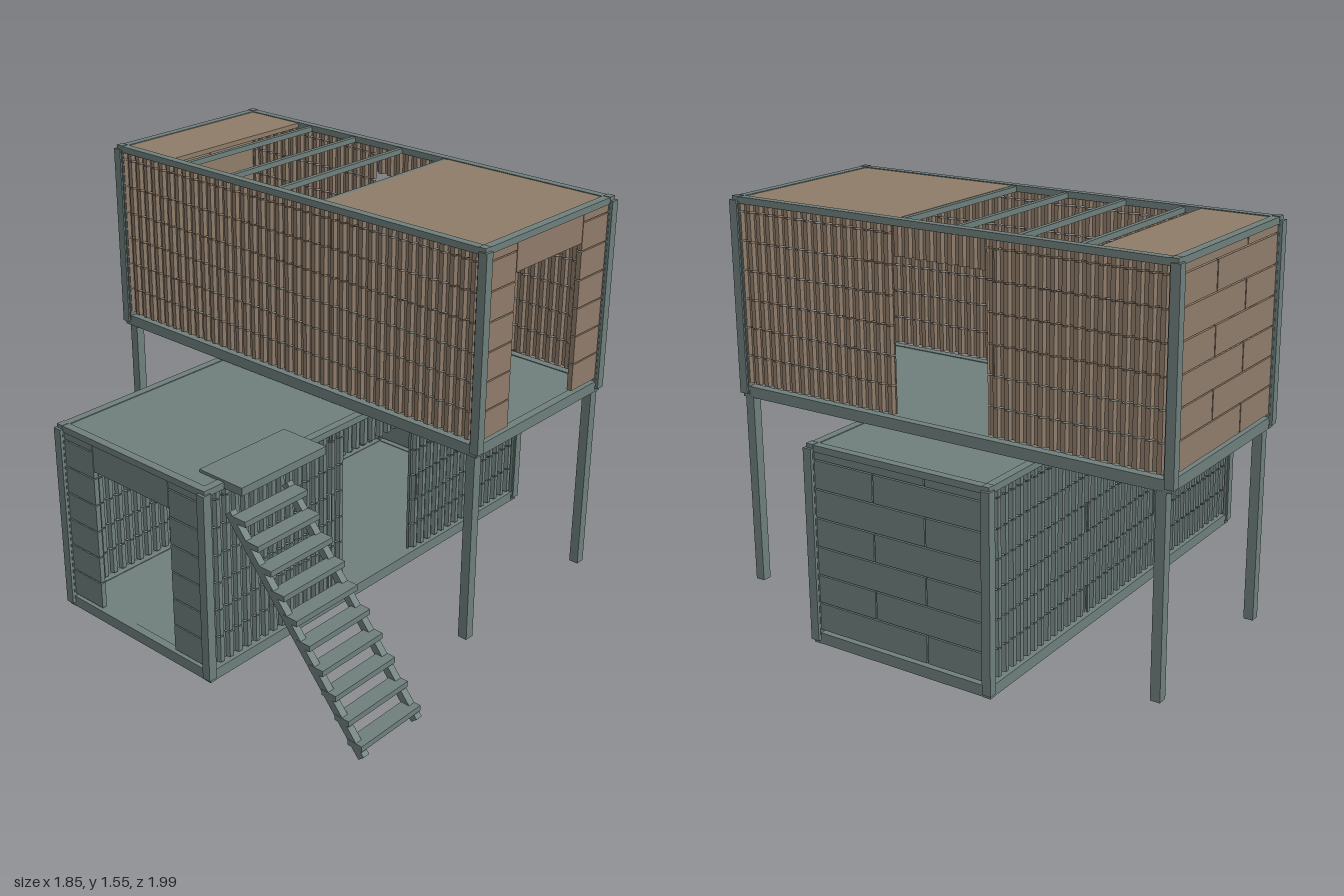
import * as THREE from 'three';

const steel = new THREE.MeshStandardMaterial({ color: 0x6f7f7c, flatShading: true });
const timber = new THREE.MeshStandardMaterial({ color: 0x8f7c6a, flatShading: true });

const HALF_L = 0.925, HALF_W = 0.393, HEIGHT = 0.77;
const ROW = 0.11, FIRST_ROW = 0.055, WALL_TOP = 0.745, GAP = 0.005;
const DOOR = 0.2, DOOR_TOP = 0.635;

// box given by its min and max corners
function box(parent, name, mat, x0, x1, y0, y1, z0, z1) {
  const m = new THREE.Mesh(new THREE.BoxGeometry(x1 - x0, y1 - y0, z1 - z0), mat);
  m.position.set((x0 + x1) / 2, (y0 + y1) / 2, (z0 + z1) / 2);
  m.name = name;
  parent.add(m);
  return m;
}

// corrugated sheet from a to b, its outer crests at z = 0 and its folds towards -z
function corrugated(parent, name, mat, a, b, y0, y1) {
  const pitch = 0.045, depth = 0.016, thick = 0.006;
  const wave = u => {
    const t = u / pitch - Math.floor(u / pitch);
    if (t < 0.4) return 0;
    if (t < 0.5) return (t - 0.4) * 10 * depth;
    if (t < 0.9) return depth;
    return (1 - t) * 10 * depth;
  };
  const us = [a];
  for (let k = Math.floor(a / pitch); k * pitch < b; k++) {
    for (const t of [0.001, 0.4, 0.5, 0.9]) {
      const u = (k + t) * pitch;
      if (u > a + 1e-4 && u < b - 1e-4) us.push(u);
    }
  }
  us.push(b);
  const outer = us.map(u => new THREE.Vector2(u, wave(u)));
  const inner = us.map(u => new THREE.Vector2(u, wave(u) + thick)).reverse();
  const geo = new THREE.ExtrudeGeometry(new THREE.Shape([...outer, ...inner]), { depth: y1 - y0, bevelEnabled: false });
  geo.rotateX(-Math.PI / 2);
  const m = new THREE.Mesh(geo, mat);
  m.position.y = y0;
  m.name = name;
  parent.add(m);
}

// wall of boards in rows with staggered seams, facing +z, with an optional doorway
function wall(name, mat, half, ribbed, door) {
  const g = new THREE.Group();
  g.name = name;
  const board = (a, b, y0, y1) => {
    if (ribbed) corrugated(g, 'ribbedBoard', mat, a, b, y0, y1);
    else box(g, 'board', mat, a, b, y0, y1, -0.02, 0);
  };
  for (let i = 0; i < 7; i++) {
    const y0 = FIRST_ROW + i * ROW, y1 = Math.min(y0 + ROW - GAP, WALL_TOP);
    let seam = i % 2 ? -0.1 : 0.12;
    if (ribbed) seam = [-0.27, null, 0.23][i % 3];
    let spans = door ? [[-half, -DOOR], [DOOR, half]] : [[-half, half]];
    if (seam !== null) {
      spans = spans.flatMap(([a, b]) => seam > a && seam < b
        ? [[a, seam - GAP / 2], [seam + GAP / 2, b]] : [[a, b]]);
    }
    for (const [a, b] of spans) board(a, b, y0, y1);
  }
  if (door) board(-DOOR + 0.003, DOOR - 0.003, DOOR_TOP, WALL_TOP);
  return g;
}

// container lying along x, with doorways in its -x end and its +z side
function container(name, skin, roofs, beams) {
  const g = new THREE.Group();
  g.name = name;
  const p = 0.035;

  // floor and frame
  box(g, 'floor', steel, -HALF_L + 0.02, HALF_L - 0.02, 0.004, 0.04, -HALF_W + 0.02, HALF_W - 0.02);
  for (const s of [-1, 1]) {
    const z = s * (HALF_W - 0.024), x = s * (HALF_L - 0.028);
    for (const [y0, y1] of [[0, 0.043], [HEIGHT - 0.027, HEIGHT - 0.002]]) {
      box(g, 'sideRail', steel, -HALF_L + 0.015, HALF_L - 0.015, y0, y1, z - 0.016, z + 0.016);
      box(g, 'endRail', steel, x - 0.016, x + 0.016, y0, y1, -HALF_W + 0.01, HALF_W - 0.01);
    }
    for (const t of [-1, 1]) {
      const cx = s * (HALF_L - p / 2), cz = t * (HALF_W - p / 2);
      box(g, 'cornerPost', steel, cx - p / 2, cx + p / 2, 0.014, HEIGHT - 0.015, cz - p / 2, cz + p / 2);
      const ix = cx - s * 0.008, iz = cz - t * 0.004;
      box(g, 'cornerCap', steel, ix - 0.015, ix + 0.015, 0, HEIGHT, iz - 0.015, iz + 0.015);
    }
  }

  // walls
  const sideHalf = HALF_L - 0.033, endHalf = HALF_W - 0.033;
  const walls = [
    ['frontSideWall', sideHalf, true, true, 0, HALF_W - 0.012],
    ['backSideWall', sideHalf, true, false, Math.PI, HALF_W - 0.012],
    ['doorEndWall', endHalf, false, true, -Math.PI / 2, HALF_L - 0.016],
    ['closedEndWall', endHalf, false, false, Math.PI / 2, HALF_L - 0.016],
  ];
  for (const [label, half, ribbed, door, turn, dist] of walls) {
    const w = wall(label, skin, half, ribbed, door);
    w.rotation.y = turn;
    w.position.set(Math.sin(turn) * dist, 0, Math.cos(turn) * dist);
    g.add(w);
  }

  // roof sheets and open beams
  for (const [a, b] of roofs) {
    box(g, 'roofPanel', skin, a, b, HEIGHT - 0.024, HEIGHT - 0.005, -HALF_W + 0.035, HALF_W - 0.035);
  }
  for (const x of beams) {
    box(g, 'roofBeam', steel, x - 0.009, x + 0.009, HEIGHT - 0.027, HEIGHT - 0.006, -HALF_W + 0.03, HALF_W - 0.03);
  }
  return g;
}

function stairs() {
  const g = new THREE.Group();
  g.name = 'stairs';
  // sloping stringers, cut square to the slope
  const low = new THREE.Vector2(0.985, 0.018), high = new THREE.Vector2(0.385, 0.715);
  const len = low.distanceTo(high), slope = Math.atan2(high.y - low.y, low.x - high.x);
  for (const x of [-0.865, -0.59]) {
    const m = new THREE.Mesh(new THREE.BoxGeometry(0.028, 0.03, len), steel);
    m.position.set(x, (low.y + high.y) / 2, (low.x + high.x) / 2);
    m.rotation.x = slope;
    m.name = 'stringer';
    g.add(m);
  }
  for (let i = 0; i < 10; i++) {
    const y = 0.057 + i * 0.0715, z = 0.988 - i * 0.0577;
    box(g, 'tread', steel, -0.88, -0.575, y - 0.011, y + 0.011, z - 0.062, z);
  }
  return g;
}

export function createModel() {
  const model = new THREE.Group();
  model.name = 'containerHouse';

  const lower = container('lowerContainer', steel, [[-0.89, 0.89]], []);
  lower.position.set(0, 0.012, -0.075);
  model.add(lower);

  // the upper container crosses the lower one at right angles
  const upper = container('upperContainer', timber, [[-0.89, -0.178], [0.615, 0.89]], [-0.168, 0.06, 0.305, 0.545]);
  upper.rotation.y = Math.PI / 2;
  upper.position.set(0.268, 0.787, -0.073);
  model.add(upper);

  // legs under the overhanging ends
  for (const x of [-0.093, 0.635]) {
    for (const z of [0.812, -0.95]) {
      box(model, 'leg', steel, x - 0.019, x + 0.019, 0.03, 0.79, z - 0.019, z + 0.019);
    }
  }

  box(model, 'landing', steel, -0.82, -0.4, 0.757, 0.788, 0.19, 0.395);
  model.add(stairs());
  return model;
}
